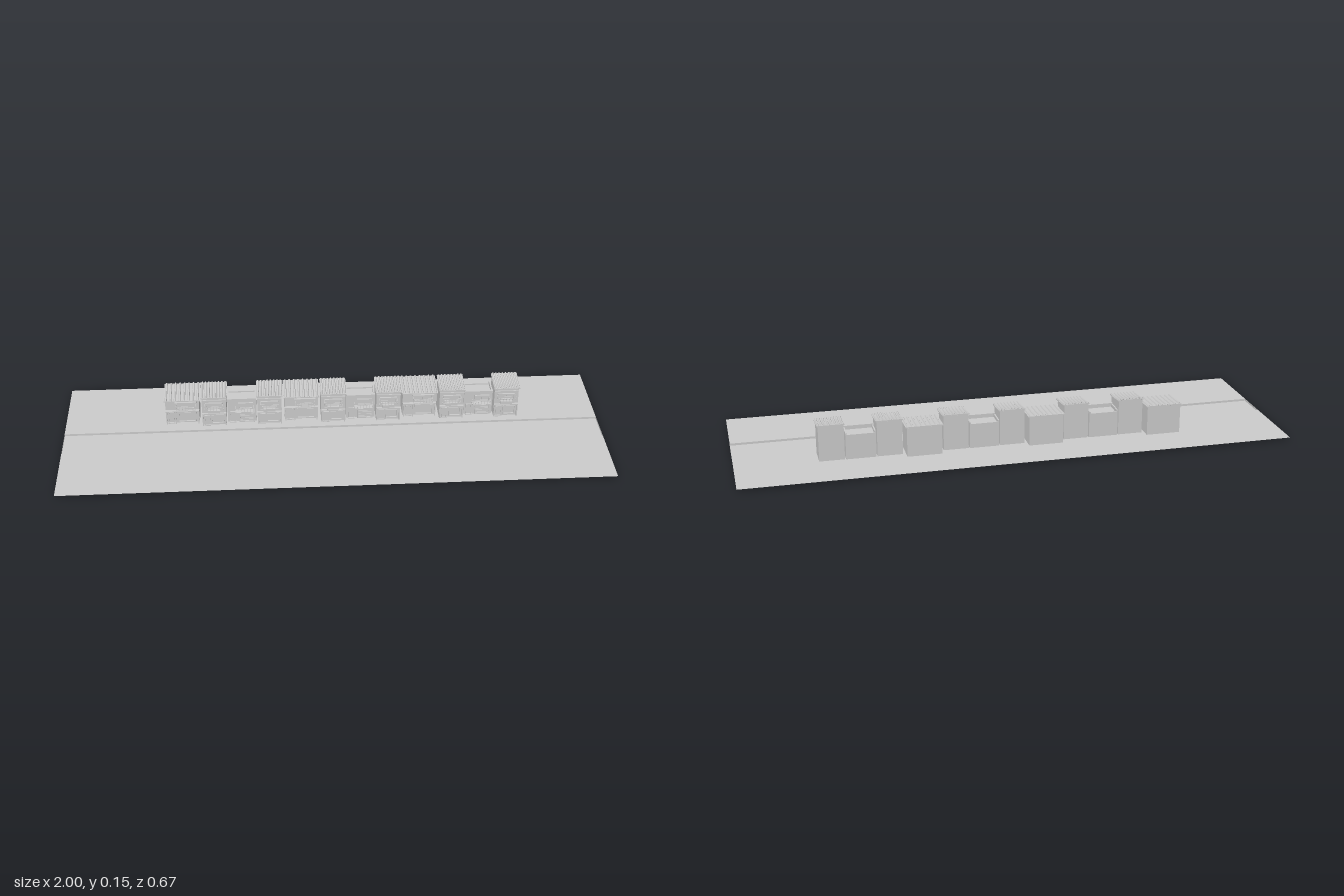
import * as THREE from 'three';

const grey = new THREE.MeshStandardMaterial({ color: 0xcccccc, flatShading: true });
const thin = new THREE.MeshStandardMaterial({ color: 0xcccccc, flatShading: true, side: THREE.DoubleSide });
const GROUND = 0.008;

function add(parent, name, geometry, material = grey) {
  const m = new THREE.Mesh(geometry, material);
  m.name = name;
  parent.add(m);
  return m;
}

// box given by its min and max on each axis
function box(parent, name, x0, x1, y0, y1, z0, z1) {
  const m = add(parent, name, new THREE.BoxGeometry(x1 - x0, y1 - y0, z1 - z0));
  m.position.set((x0 + x1) / 2, (y0 + y1) / 2, (z0 + z1) / 2);
  return m;
}

// side outline of [z, y] points swept from x0 to x1
function sweep(parent, name, points, x0, x1) {
  const shape = new THREE.Shape(points.map(([z, y]) => new THREE.Vector2(-z, y)));
  const g = new THREE.ExtrudeGeometry(shape, { depth: x1 - x0, bevelEnabled: false });
  g.rotateY(Math.PI / 2).translate(x0, 0, 0);
  return add(parent, name, g);
}

// rectangular frame with an opening, standing out from a wall
function frame(parent, name, x0, x1, y0, y1, z, depth = 0.005, t = 0.004) {
  const s = new THREE.Shape([[x0, y0], [x1, y0], [x1, y1], [x0, y1]].map(p => new THREE.Vector2(...p)));
  s.holes.push(new THREE.Path([[x0 + t, y0 + t], [x0 + t, y1 - t], [x1 - t, y1 - t], [x1 - t, y0 + t]]
    .map(p => new THREE.Vector2(...p))));
  const g = new THREE.ExtrudeGeometry(s, { depth, bevelEnabled: false });
  add(parent, name, g.translate(0, 0, z));
}

// gently curved roof slab with round tile ribs
function tiledRoof(parent, x0, x1, line, ribs) {
  const under = [...line].reverse().map(([z, y]) => [z, y - 0.004]);
  sweep(parent, 'roofSlab', [...line, ...under], x0, x1);
  const path = new THREE.CatmullRomCurve3(line.map(([z, y]) => new THREE.Vector3(0, y, z)));
  const tile = new THREE.TubeGeometry(path, 6, 0.0042, 6, false);
  const step = (x1 - x0) / ribs;
  for (let i = 0; i < ribs; i++) {
    const rib = add(parent, 'roofTileRow', tile, thin);
    rib.position.x = x0 + step * (i + 0.5);
  }
}

// projecting open cage of rails in front of a window
function railing(parent, x0, x1, y0, y1, zWall, zOut) {
  const r = 0.0015;
  for (const y of [y0, y1 - r]) {
    box(parent, 'railFront', x0, x1, y, y + r, zOut - r, zOut);
    for (const x of [x0, x1 - r]) box(parent, 'railSide', x, x + r, y, y + r, zWall, zOut);
  }
  for (let i = 0; i <= 6; i++) {
    const x = x0 + (x1 - x0 - r) * i / 6;
    box(parent, 'railBar', x, x + r, y0, y1, zOut - r, zOut);
  }
}

// door with frame and sill
function door(parent, x0, x1, y1, z) {
  frame(parent, 'doorFrame', x0, x1, GROUND, y1, z, 0.005, 0.003);
  box(parent, 'doorPanel', x0 + 0.003, x1 - 0.003, GROUND, y1 - 0.003, z, z + 0.002);
  box(parent, 'doorStep', x0 - 0.002, x1 + 0.002, GROUND, GROUND + 0.003, z, z + 0.008);
}

function window_(parent, x0, x1, y0, y1, z) {
  frame(parent, 'windowFrame', x0, x1, y0, y1, z, 0.006);
  const mid = (x0 + x1) / 2;
  box(parent, 'windowPane', x0 + 0.004, x1 - 0.004, y0 + 0.004, y1 - 0.004, z, z + 0.001);
  box(parent, 'windowMullion', mid - 0.001, mid + 0.001, y0 + 0.004, y1 - 0.004, z, z + 0.004);
}

// wide house set back from the street
function wideHouse() {
  const g = new THREE.Group();
  g.name = 'wideHouse';
  const z = -0.095;
  sweep(g, 'walls', [[z, 0.002], [z, 0.112], [-0.187, 0.117], [-0.187, 0.002]], 0.004, 0.13);
  tiledRoof(g, 0, 0.135, [[-0.078, 0.115], [-0.13, 0.117], [-0.19, 0.121]], 8);
  window_(g, 0.046, 0.115, 0.071, 0.1, z);
  railing(g, 0.044, 0.117, 0.07, 0.088, z, z + 0.016);
  box(g, 'windowCanopy', 0.04, 0.121, 0.101, 0.104, z, z + 0.014);
  box(g, 'floorLedge', 0.004, 0.13, 0.061, 0.065, z, z + 0.012);
  for (const x of [0.006, 0.04, 0.124]) box(g, 'porchPost', x, x + 0.004, GROUND, 0.062, z + 0.007, z + 0.012);
  door(g, 0.014, 0.036, 0.055, z);
  frame(g, 'shopFront', 0.05, 0.118, 0.012, 0.056, z, 0.006);
  return g;
}

// tall narrow house with an upswept tiled roof
function tallHouse() {
  const g = new THREE.Group();
  g.name = 'tallHouse';
  const z = -0.073;
  sweep(g, 'walls', [[z, GROUND], [z, 0.131], [-0.12, 0.134], [-0.158, 0.139], [-0.158, GROUND]], 0.003, 0.094);
  tiledRoof(g, 0, 0.098, [[-0.063, 0.134], [-0.09, 0.134], [-0.125, 0.137], [-0.159, 0.142]], 8);
  window_(g, 0.016, 0.08, 0.081, 0.107, z);
  railing(g, 0.013, 0.083, 0.08, 0.102, z, -0.055);
  box(g, 'planter', 0.025, 0.07, 0.066, 0.077, z, -0.061);
  box(g, 'corniceBand', 0.003, 0.094, 0.115, 0.119, z, z + 0.004);
  box(g, 'floorLedge', 0.003, 0.094, 0.058, 0.062, z, -0.064);
  for (const x of [0.004, 0.089]) box(g, 'cornerPost', x, x + 0.004, GROUND, 0.059, z, -0.065);
  door(g, 0.012, 0.032, 0.052, z);
  frame(g, 'shopFront', 0.038, 0.084, 0.016, 0.054, z, 0.006, 0.003);
  return g;
}

// low house with a parapet around a flat roof, and a balcony
function lowHouse() {
  const g = new THREE.Group();
  g.name = 'lowHouse';
  const z = -0.09, w = 0.108;
  box(g, 'walls', 0, w, GROUND, 0.095, -0.16, z);
  box(g, 'parapetFront', 0, w, 0.095, 0.107, z - 0.005, z);
  box(g, 'parapetBack', 0, w, 0.095, 0.1, -0.16, -0.155);
  for (const x of [0, w - 0.005]) box(g, 'parapetSide', x, x + 0.005, 0.095, 0.107, -0.16, z);
  box(g, 'parapetCap', 0, w, 0.107, 0.11, z - 0.007, z + 0.003);
  window_(g, 0.04, 0.096, 0.066, 0.092, z);
  box(g, 'balconyFloor', 0.03, 0.1, 0.058, 0.062, z, -0.066);
  railing(g, 0.031, 0.099, 0.062, 0.078, z, -0.067);
  door(g, 0.008, 0.03, 0.054, z);
  frame(g, 'garageFrame', 0.042, 0.1, GROUND, 0.053, z, 0.006);
  for (let i = 0; i < 5; i++) {
    const y = 0.012 + i * 0.0075;
    box(g, 'garageSlat', 0.046, 0.096, y, y + 0.005, z, z + 0.002);
  }
  return g;
}

// ground on both sides of a sunken road
function street(parent) {
  const g = new THREE.Group();
  g.name = 'street';
  parent.add(g);
  const back = -0.04, front = 0.085, edge = 0.335;
  const flat = (name, z0, z1, y) => {
    const m = add(g, name, new THREE.PlaneGeometry(2, z1 - z0).rotateX(-Math.PI / 2), thin);
    m.position.set(0, y, (z0 + z1) / 2);
  };
  flat('groundBack', -edge, back, GROUND);
  flat('road', back, front, 0);
  flat('groundFront', front, edge, GROUND);
  for (const z of [back, front]) {
    add(g, 'kerb', new THREE.PlaneGeometry(2, GROUND), thin).position.set(0, GROUND / 2, z);
  }
  for (const x of [-1, 1]) {
    const cap = add(g, 'roadEnd', new THREE.PlaneGeometry(front - back, GROUND).rotateY(Math.PI / 2), thin);
    cap.position.set(x, GROUND / 2, (front + back) / 2);
  }
}

export function createModel() {
  const model = new THREE.Group();
  model.name = 'streetWithHouses';
  street(model);

  // three repeats of the same four houses
  const block = [[wideHouse, 0], [tallHouse, 0.138], [lowHouse, 0.236], [tallHouse, 0.345]];
  for (let i = 0; i < 3; i++) {
    for (const [make, x] of block) {
      const house = make();
      house.position.x = -0.628 + i * 0.446 + x;
      model.add(house);
    }
  }
  return model;
}
